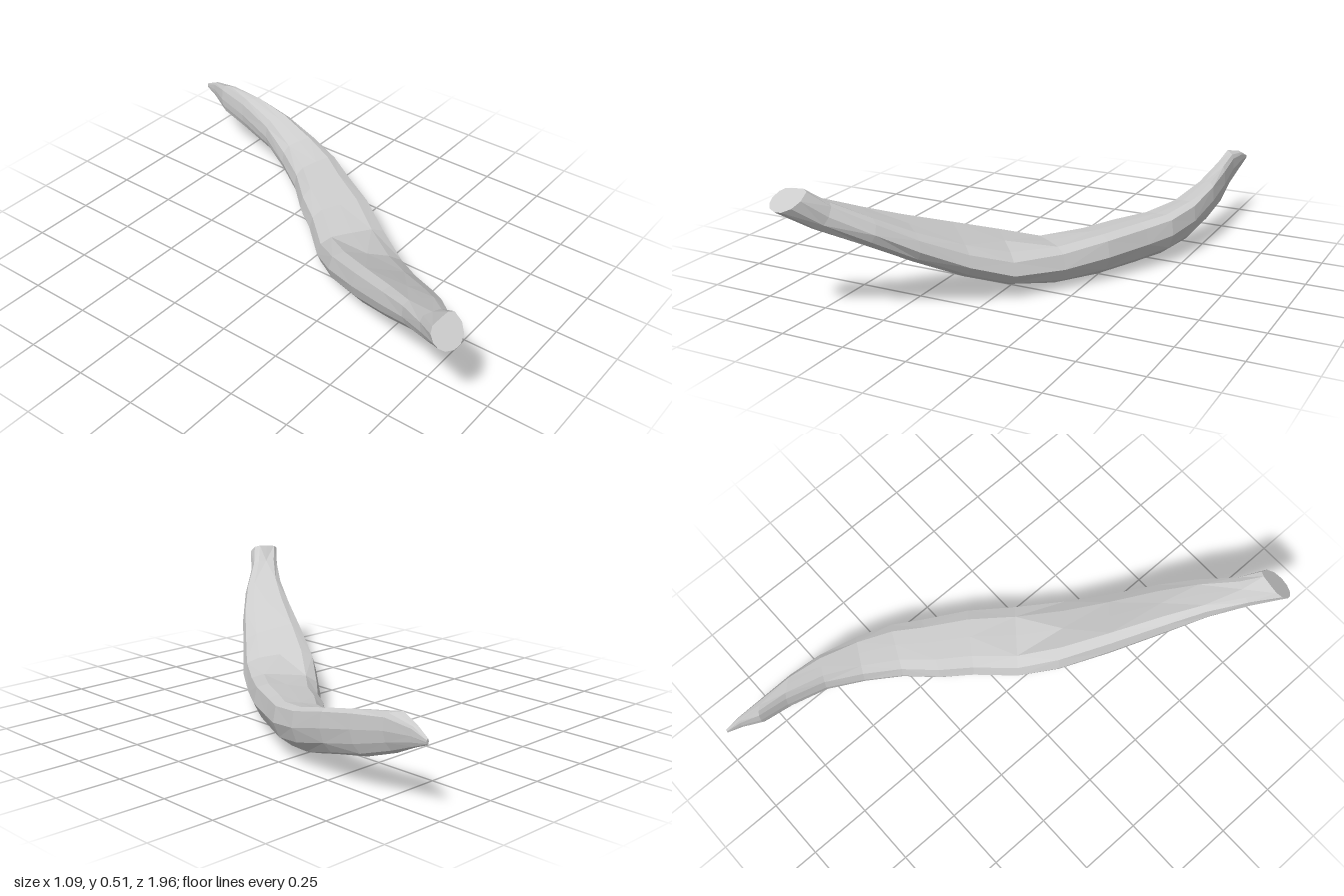
import * as THREE from 'three';

// Cross-section outline: u runs across (left edge to right edge), v runs bottom to top
const OUTLINE = [
  [0, 0.53], [0.05, 0.85], [0.2, 1], [0.5, 0.98], [0.78, 0.95], [0.95, 0.84],
  [1, 0.52], [0.89, 0.24], [0.66, 0.05], [0.42, 0], [0.18, 0.09], [0.05, 0.29],
];

// Stations along the branch: left x, z, right x, z, bottom y, top y,
// backward lean of the top, tilt (positive raises the right edge)
const STATIONS = [
  [-0.55, 0.93, -0.42, 0.965, 0.44, 0.515, 0.09, 0.35],
  [-0.47, 0.84, -0.36, 0.89, 0.36, 0.46, 0.05, 0.1],
  [-0.38, 0.71, -0.24, 0.79, 0.28, 0.40, 0.03, -0.15],
  [-0.30, 0.56, -0.13, 0.68, 0.19, 0.345, 0, -0.3],
  [-0.20, 0.37, -0.01, 0.54, 0.098, 0.275, 0, -0.35],
  [-0.10, 0.19, 0.10, 0.41, 0.033, 0.21, 0, -0.25],
  [0, 0.06, 0.22, 0.24, 0.002, 0.175, 0, 0.2],
  [0.12, -0.07, 0.33, 0.08, 0.005, 0.192, 0, 0.3],
  [0.20, -0.18, 0.42, -0.09, 0.015, 0.203, 0, 0.3],
  [0.30, -0.29, 0.48, -0.20, 0.03, 0.213, 0, 0.3],
  [0.38, -0.42, 0.52, -0.34, 0.055, 0.235, 0, 0.3],
  [0.44, -0.56, 0.54, -0.50, 0.10, 0.275, 0, 0.25],
  [0.47, -0.72, 0.54, -0.64, 0.135, 0.305, 0, 0.1],
  [0.475, -0.84, 0.53, -0.78, 0.18, 0.32, 0, 0],
  [0.505, -0.91, 0.53, -0.90, 0.225, 0.30, 0, 0],
  [0.52, -0.965, 0.53, -0.965, 0.25, 0.27, 0, 0],
];

function createBranchGeometry() {
  const n = OUTLINE.length, last = STATIONS.length - 1;
  const positions = [], indices = [];
  for (const [lx, lz, rx, rz, bottom, top, lean, tilt] of STATIONS) {
    for (const [u, v] of OUTLINE) {
      const height = v * (1 + tilt * (u - 0.5)) / (1 + 0.25 * Math.abs(tilt));
      const shift = lean * (height - 0.5);
      positions.push(
        THREE.MathUtils.lerp(lx, rx, u) + shift * 0.3,
        THREE.MathUtils.lerp(bottom, top, height),
        THREE.MathUtils.lerp(lz, rz, u) - shift,
      );
    }
  }
  // Faceted sides between neighbouring stations
  for (let i = 0; i < last; i++) {
    for (let j = 0; j < n; j++) {
      const a = i * n + j, b = i * n + (j + 1) % n;
      if ((i + j) % 2) indices.push(a, b, a + n, b, b + n, a + n);
      else indices.push(a, b, b + n, a, b + n, a + n);
    }
  }
  // Cut end and pointed end
  for (let j = 1; j < n - 1; j++) {
    indices.push(0, j + 1, j);
    indices.push(last * n, last * n + j, last * n + j + 1);
  }
  const indexed = new THREE.BufferGeometry();
  indexed.setAttribute('position', new THREE.Float32BufferAttribute(positions, 3));
  indexed.setIndex(indices);
  const geometry = indexed.toNonIndexed();
  geometry.computeVertexNormals();
  return geometry;
}

export function createModel() {
  const group = new THREE.Group();
  group.name = 'bentBranch';
  const grey = new THREE.MeshStandardMaterial({ color: 0xcccccc, flatShading: true });
  grey.name = 'grey';
  const branch = new THREE.Mesh(createBranchGeometry(), grey);
  branch.name = 'branch';
  group.add(branch);
  return group;
}
